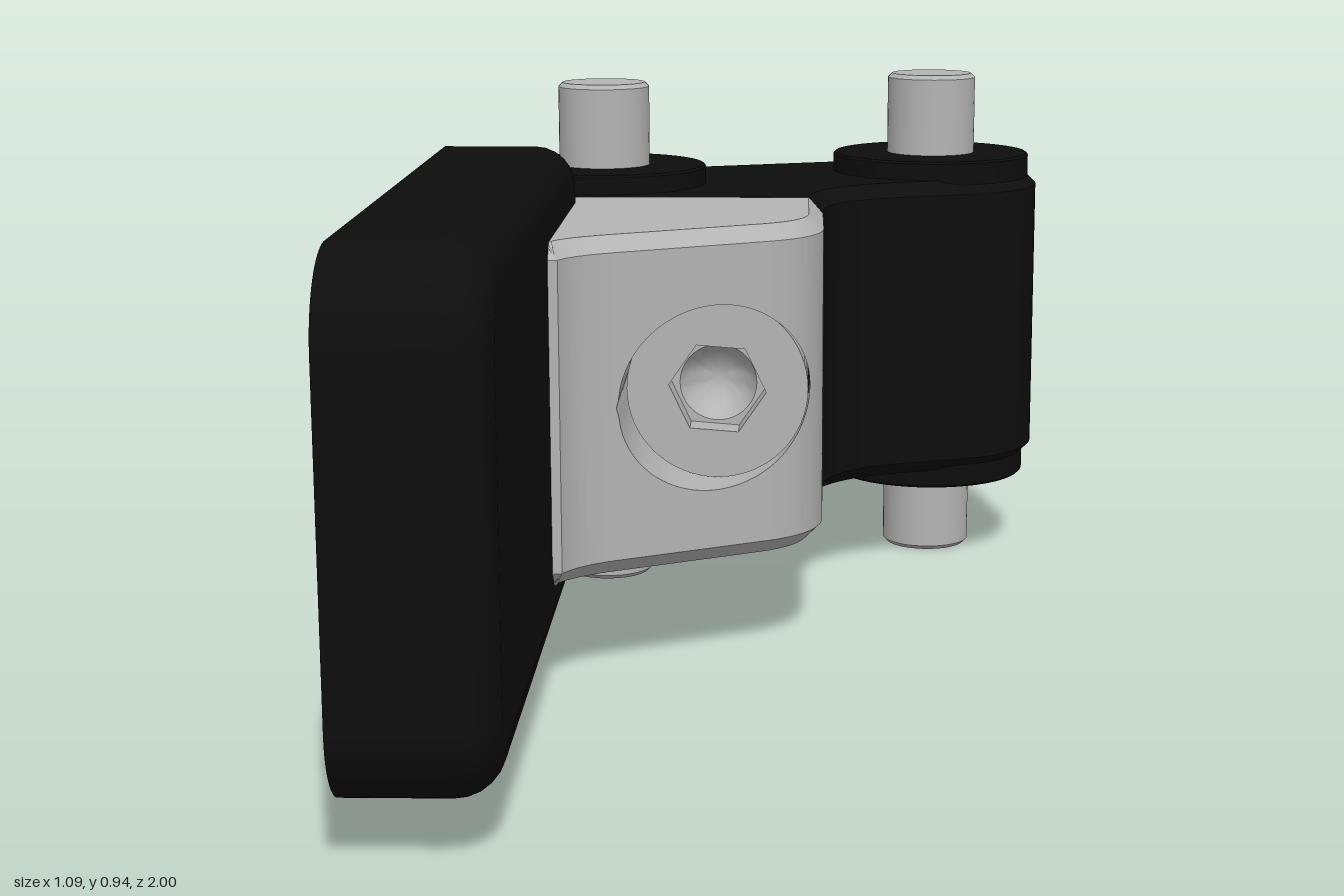
import * as THREE from 'three';
import { toCreasedNormals } from 'three/addons/utils/BufferGeometryUtils.js';

const black = new THREE.MeshStandardMaterial({ color: 0x0d0d0d });
black.name = 'black';
const silver = new THREE.MeshStandardMaterial({ color: 0xb4b4b4 });
silver.name = 'silver';

const MID = 0.478; // height of the symmetry plane
const PINS = [[-0.29, -0.567], [0.335, -0.793]];

export function createModel() {
  const model = new THREE.Group();
  const add = (name, geometry, material, crease = 0.5) => {
    const mesh = new THREE.Mesh(toCreasedNormals(geometry, crease), material);
    mesh.name = name;
    model.add(mesh);
    return mesh;
  };

  // Mounting plate: square at the back face, rounded towards +x
  const plateShape = (() => {
    const s = new THREE.Shape(), R = 0.13, r = 0.06;
    const u0 = -1, u1 = 0.333, v0 = 0.09, v1 = 0.86; // u = -z
    s.moveTo(u0 + R, v0);
    s.lineTo(u1 - r, v0);
    s.absarc(u1 - r, v0 + r, r, -Math.PI / 2, 0);
    s.absarc(u1 - r, v1 - r, r, 0, Math.PI / 2);
    s.absarc(u0 + R, v1 - R, R, Math.PI / 2, Math.PI);
    s.absarc(u0 + R, v0 + R, R, Math.PI, Math.PI * 1.5);
    return s;
  })();
  const plateBack = new THREE.ExtrudeGeometry(plateShape, { depth: 0.16, bevelEnabled: false, curveSegments: 12 });
  plateBack.rotateY(Math.PI / 2).translate(-0.55, 0, 0);
  add('plateBack', plateBack, black);
  const plateFront = new THREE.ExtrudeGeometry(plateShape, {
    depth: 0.01, bevelThickness: 0.07, bevelSize: 0.07, bevelOffset: -0.07, bevelSegments: 6, curveSegments: 12,
  });
  plateFront.rotateY(Math.PI / 2).translate(-0.4, 0, 0);
  add('plateRoundedFace', plateFront, black);

  // Hinge link wrapped around both pins, drawn in (x, -z)
  const link = new THREE.Shape();
  link.moveTo(-0.5, 0.33);
  link.lineTo(-0.5, 0.567);
  link.absarc(PINS[0][0], -PINS[0][1], 0.21, Math.PI, 1.916, true);
  link.absarc(PINS[1][0], -PINS[1][1], 0.207, 1.916, -1.22, true);
  link.lineTo(0.28, 0.555);
  link.bezierCurveTo(0.18, 0.52, 0.12, 0.45, 0.12, 0.36);
  link.lineTo(0.12, 0.33);
  const linkGeo = new THREE.ExtrudeGeometry(link, {
    depth: 0.515, bevelThickness: 0.025, bevelSize: 0.025, bevelOffset: -0.025, bevelSegments: 1, curveSegments: 20,
  });
  linkGeo.rotateX(-Math.PI / 2).translate(0, MID - 0.2575, 0);
  add('hingeLink', linkGeo, black);

  // Turned part with chamfered ends, centred on the symmetry plane
  const turned = (r, half, c) => new THREE.LatheGeometry([
    [0, -half], [r - c, -half], [r, c - half], [r, half - c], [r - c, half], [0, half],
  ].map(p => new THREE.Vector2(...p)), 48);
  PINS.forEach(([x, z], i) => {
    add('pin' + (i + 1), turned(0.085, 0.472, 0.008), silver).position.set(x, MID, z);
    add('pinCollar' + (i + 1), turned(0.191, 0.318, 0.004), black).position.set(x, MID, z);
  });

  // Clamp block: the top outline swept upwards, with a counterbore cut through its front
  const outline = new THREE.Path();
  outline.moveTo(-0.33, 0.235);
  outline.lineTo(-0.305, 0.23);
  outline.quadraticCurveTo(-0.285, 0.182, -0.22, 0.147);
  outline.lineTo(0.03, 0.015);
  outline.bezierCurveTo(0.09, -0.02, 0.12, -0.07, 0.12, -0.14);
  outline.lineTo(0.12, -0.35);
  const pts = outline.getSpacedPoints(220);
  const CX = -0.06, R = 0.157, C = 0.026, HALF = 0.283, BACK = -0.35, BORE = -0.12;
  const columns = pts.map((p, i) => {
    const a = pts[Math.max(i - 1, 0)], b = pts[Math.min(i + 1, pts.length - 1)];
    const t = b.clone().sub(a).normalize();
    const inX = p.x + t.y * C, inZ = Math.max(p.y - t.x * C, BACK);
    const h = Math.sqrt(Math.max(0, R * R - (p.x - CX) ** 2));
    const half = s => [
      [inX, MID + s * HALF, BACK], [inX, MID + s * HALF, inZ],
      [p.x, MID + s * (HALF - C), p.y], [p.x, MID + s * h, p.y],
    ];
    return { h, low: half(-1), high: half(1).reverse(), x: p.x, z: p.y };
  });
  const pos = [];
  const quad = (a, b, c, d) => pos.push(...a, ...b, ...c, ...a, ...c, ...d);
  for (let i = 0; i < columns.length - 1; i++) {
    const a = columns[i], b = columns[i + 1];
    for (const side of ['low', 'high']) {
      for (let j = 0; j < 3; j++) quad(a[side][j], b[side][j], b[side][j + 1], a[side][j + 1]);
    }
    if (a.h + b.h > 0) { // counterbore walls
      const deep = (c, s) => [c.x, MID + s * c.h, BORE];
      quad(a.low[3], b.low[3], deep(b, -1), deep(a, -1));
      quad(deep(a, 1), deep(b, 1), b.high[0], a.high[0]);
    }
  }
  const block = new THREE.BufferGeometry();
  block.setAttribute('position', new THREE.Float32BufferAttribute(pos, 3));
  add('clampBlock', block, silver, 0.35);

  // Socket screw: head with a hexagonal recess and a dished floor
  const head = new THREE.Shape().absarc(0, 0, 0.154, 0, Math.PI * 2);
  const hex = Array.from({ length: 6 }, (_, i) => {
    const a = i * Math.PI / 3 - 0.08;
    return new THREE.Vector2(0.083 * Math.cos(a), 0.083 * Math.sin(a));
  });
  head.holes.push(new THREE.Path(hex));
  const headGeo = new THREE.ExtrudeGeometry(head, { depth: 0.14, bevelEnabled: false, curveSegments: 32 });
  add('screwHead', headGeo, silver).position.set(CX, MID, -0.155);
  const dish = new THREE.LatheGeometry([
    [0, -0.06], [0.025, -0.055], [0.048, -0.038], [0.066, 0], [0.09, 0],
  ].map(p => new THREE.Vector2(...p)), 36);
  dish.rotateX(Math.PI / 2);
  const floor = add('screwSocketFloor', dish, silver, 0.6);
  floor.position.set(CX, MID, -0.07);
  floor.material = silver.clone();
  floor.material.name = 'silverInside';
  floor.material.side = THREE.DoubleSide;

  return model;
}
